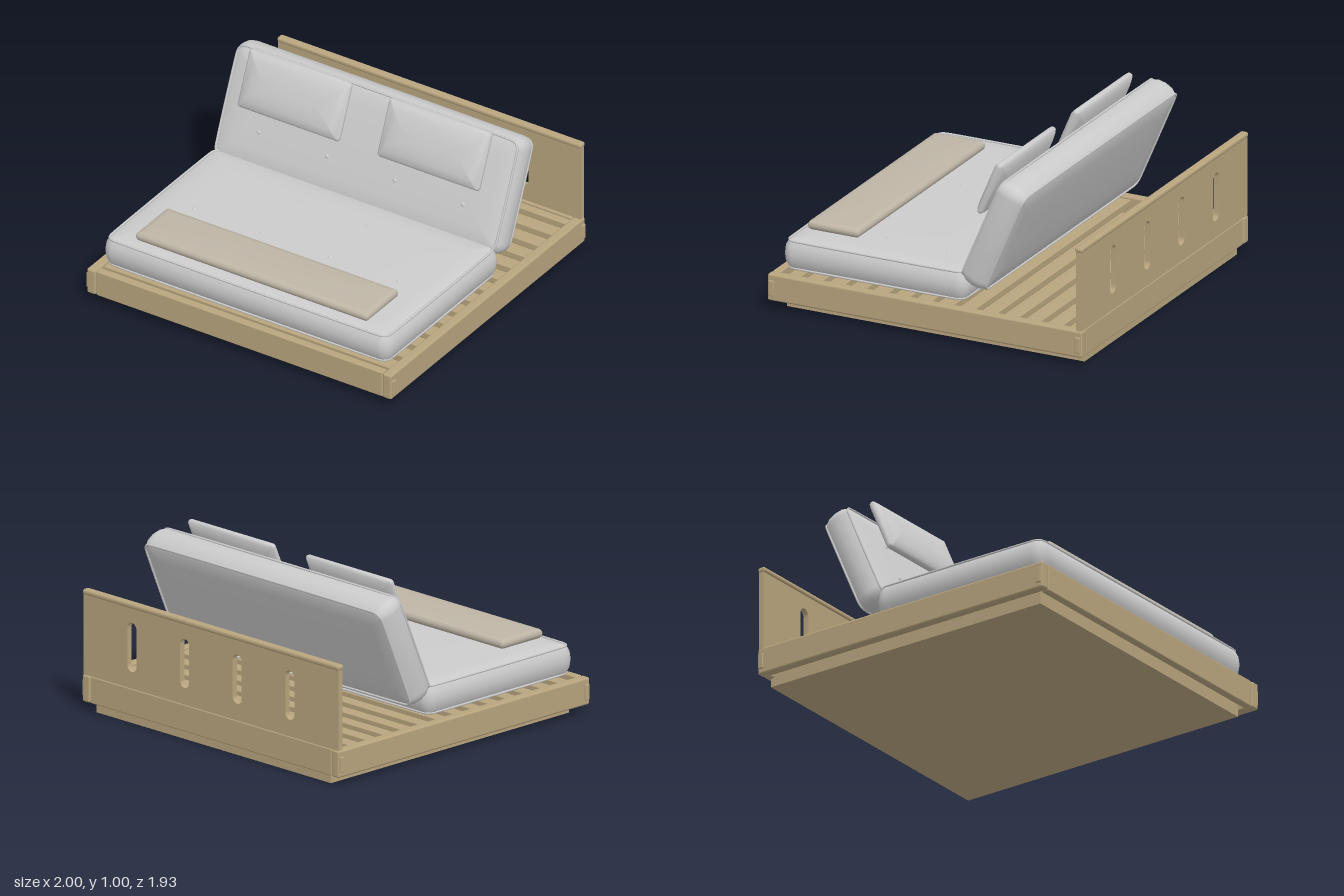
import * as THREE from 'three';
import { toCreasedNormals } from 'three/addons/utils/BufferGeometryUtils.js';
import { RoundedBoxGeometry } from 'three/addons/geometries/RoundedBoxGeometry.js';

const wood = new THREE.MeshStandardMaterial({ color: 0xb8a47e });
const fabric = new THREE.MeshStandardMaterial({ color: 0xcccccc });
const linen = new THREE.MeshStandardMaterial({ color: 0xbeb5a6 });

const TILT = -0.403;

function add(parent, name, geometry, material, x = 0, y = 0, z = 0) {
  const mesh = new THREE.Mesh(geometry, material);
  mesh.name = name;
  mesh.position.set(x, y, z);
  parent.add(mesh);
  return mesh;
}

// Board given by its limits on each axis, with softly rounded edges
function board(parent, name, [x0, x1], [y0, y1], [z0, z1], r = 0.008) {
  const geo = new RoundedBoxGeometry(x1 - x0, y1 - y0, z1 - z0, 2, r);
  return add(parent, name, geo, wood, (x0 + x1) / 2, (y0 + y1) / 2, (z0 + z1) / 2);
}

// Counter-clockwise rounded rectangle in the XY plane
function ring(hw, hh, r, z, n = 6) {
  const pts = [];
  const corners = [[1, 1], [-1, 1], [-1, -1], [1, -1]];
  corners.forEach(([sx, sy], c) => {
    for (let i = 0; i <= n; i++) {
      const a = (c + i / n) * Math.PI / 2;
      pts.push(new THREE.Vector3(sx * (hw - r) + r * Math.cos(a), sy * (hh - r) + r * Math.sin(a), z));
    }
  });
  return pts;
}

// Cushion lofted through rounded rectangles; half profile rows are [inset, z], front centre to rim
function cushionGeometry(hw, hh, r, half) {
  const mirrored = half.slice(0, -1).reverse().map(([inset, z]) => [inset, -z]);
  const loops = [...half, ...mirrored].map(([inset, z]) =>
    ring(hw - inset, hh - inset, Math.max(r - inset, 0.008), z));
  const n = loops[0].length;
  const verts = loops.flat();
  const front = verts.push(new THREE.Vector3(0, 0, half[0][1])) - 1;
  const back = verts.push(new THREE.Vector3(0, 0, -half[0][1])) - 1;
  const index = [];
  for (let i = 0; i < n; i++) {
    const j = (i + 1) % n;
    const last = (loops.length - 1) * n;
    index.push(front, i, j, back, last + j, last + i);
    for (let k = 0; k < loops.length - 1; k++) {
      const a = k * n, b = a + n;
      index.push(a + i, b + i, b + j, a + i, b + j, a + j);
    }
  }
  const geo = new THREE.BufferGeometry().setFromPoints(verts);
  geo.setIndex(index);
  return toCreasedNormals(geo, 0.7);
}

const MATTRESS = [[0.25, 0.092], [0.12, 0.089], [0.05, 0.084], [0.022, 0.074], [0.006, 0.045], [0, 0]];
const PILLOW = [[0.13, 0.05], [0.09, 0.046], [0.05, 0.036], [0.018, 0.022], [0.004, 0.012], [0, 0]];
const PAD = [[0.04, 0.027], [0.014, 0.024], [0.004, 0.014], [0, 0]];

// Upholstered slab with piping on both rims and rows of buttons on its front
function mattress(name, hw, hh, buttonRows) {
  const group = new THREE.Group();
  group.name = name;
  add(group, name + 'Body', cushionGeometry(hw, hh, 0.07, MATTRESS), fabric);
  for (const z of [0.078, -0.078]) {
    const path = new THREE.CatmullRomCurve3(ring(hw - 0.024, hh - 0.024, 0.046, z), true, 'centripetal');
    add(group, name + 'Piping', new THREE.TubeGeometry(path, 240, 0.007, 6, true), fabric);
  }
  for (const y of buttonRows) for (const x of [-0.665, -0.22, 0.22, 0.665]) {
    const button = add(group, name + 'Button', new THREE.SphereGeometry(0.013, 12, 8), fabric, x, y, 0.09);
    button.scale.z = 0.6;
  }
  return group;
}

export function createModel() {
  const model = new THREE.Group();
  model.name = 'sofaBed';

  // Plinth and slatted base
  add(model, 'plinth', new THREE.BoxGeometry(1.81, 0.12, 1.82), wood, 0, 0.06, -0.025);
  for (let i = 0; i < 14; i++) {
    const z = -0.9 + i * 0.1335;
    board(model, 'slat', [-0.936, 0.936], [0.15, 0.19], [z - 0.0375, z + 0.0375], 0.005);
  }

  // Frame rails and the joint pegs showing on the sides
  board(model, 'frontRail', [-0.932, 0.932], [0.05, 0.205], [0.91, 0.958]);
  board(model, 'backRail', [-0.932, 0.932], [0.05, 0.205], [-0.958, -0.91]);
  for (const s of [-1, 1]) {
    const x = s * 0.9625;
    board(model, 'sideRail', [x - 0.0285, x + 0.0285], [0.05, 0.205], [-0.962, 0.962], 0.012);
    for (const z of [-0.937, 0.937]) {
      board(model, 'jointPeg', [s * 0.985 - 0.015, s * 0.985 + 0.015], [0.08, 0.17], [z - 0.016, z + 0.016], 0.005);
    }
  }

  // Headboard with four upright slots and a rounded cap
  const panel = new THREE.Shape();
  panel.moveTo(-0.985, 0.205).lineTo(0.985, 0.205).lineTo(0.985, 0.67).lineTo(-0.985, 0.67).closePath();
  for (const x of [-0.61, -0.203, 0.203, 0.61]) {
    const slot = new THREE.Path();
    slot.absarc(x, 0.545, 0.035, 0, Math.PI, false);
    slot.absarc(x, 0.335, 0.035, Math.PI, Math.PI * 2, false);
    slot.closePath();
    panel.holes.push(slot);
  }
  const panelGeo = new THREE.ExtrudeGeometry(panel, { depth: 0.032, bevelEnabled: false, curveSegments: 10 });
  add(model, 'headboard', toCreasedNormals(panelGeo, 0.6), wood, 0, 0, -0.957);
  board(model, 'headboardCap', [-0.99, 0.99], [0.66, 0.692], [-0.964, -0.916], 0.014);

  // Seat and leaning backrest
  const seat = mattress('seat', 0.935, 0.565, [-0.415, -0.045, 0.325]);
  seat.rotation.x = -Math.PI / 2;
  seat.position.set(0, 0.308, 0.345);
  const backrest = mattress('backrest', 0.935, 0.338, [-0.114, 0.114]);
  backrest.rotation.x = TILT;
  backrest.position.set(0, 0.623, -0.374);
  model.add(seat, backrest);

  // Pair of pillows
  const pillowGeo = cushionGeometry(0.332, 0.168, 0.02, PILLOW);
  for (const s of [-1, 1]) {
    add(model, s > 0 ? 'leftPillow' : 'rightPillow', pillowGeo, fabric, s * 0.455, 0.846, -0.287).rotation.x = TILT;
  }

  // Folded throw across the foot of the seat
  const folded = add(model, 'foldedThrow', cushionGeometry(0.757, 0.16, 0.02, PAD), linen, 0, 0.428, 0.682);
  folded.rotation.x = -Math.PI / 2;

  return model;
}
